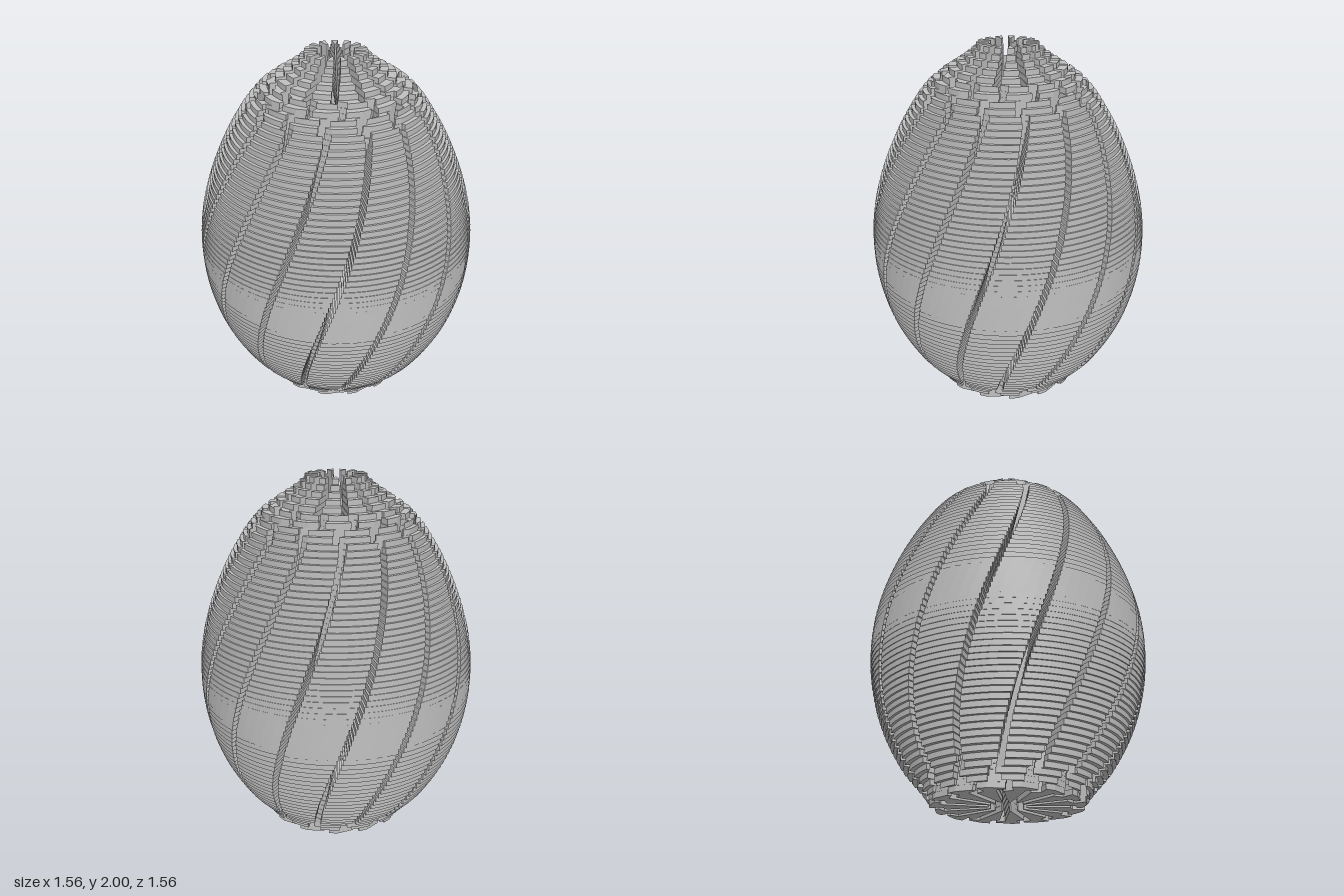
import * as THREE from 'three';
import { mergeGeometries } from 'three/addons/utils/BufferGeometryUtils.js';

const SEGMENTS = 15, LAYERS = 66, HEIGHT = 2, HALF_SLOT = 0.017;
const PITCH = (Math.PI * 2) / SEGMENTS;
const TWIST = THREE.MathUtils.degToRad(50);      // total turn from bottom to top
const TOP_ANGLE = THREE.MathUtils.degToRad(9.5); // slot direction on the top layer

// Egg radius at evenly spaced heights, bottom to top
const profile = new THREE.SplineCurve(
  [0.42, 0.575, 0.685, 0.75, 0.78, 0.775, 0.735, 0.665, 0.567, 0.425, 0.17]
    .map((r, i) => new THREE.Vector2(r, i * 0.2)));

// Slot centre line as (sideways, outward): radial, with an interlocking jog
const slot = [[0, 0.1], [0, 0.345], [0.05, 0.36], [0.05, 0.41], [-0.04, 0.43],
  [-0.04, 0.465], [0, 0.48], [0, 0.95]].map(([t, r]) => new THREE.Vector2(t, r));

// One wall of the slot: the centre line offset sideways with mitred corners
function slotWall(offset) {
  const normals = slot.slice(1).map((p, i) => {
    const d = p.clone().sub(slot[i]).normalize();
    return new THREE.Vector2(d.y, -d.x);
  });
  return slot.map((p, i) => {
    const a = normals[Math.max(i - 1, 0)];
    const b = normals[Math.min(i, normals.length - 1)];
    return a.clone().add(b).multiplyScalar(offset / (1 + a.dot(b))).add(p);
  });
}

// Cut a wall off where it leaves the layer's outer radius
function clipWall(wall, radius) {
  const points = [wall[0]];
  for (let i = 1; i < wall.length; i++) {
    if (wall[i].length() < radius) {
      points.push(wall[i]);
      continue;
    }
    let lo = 0, hi = 1;
    for (let k = 0; k < 20; k++) {
      const mid = (lo + hi) / 2;
      if (wall[i - 1].clone().lerp(wall[i], mid).length() < radius) lo = mid;
      else hi = mid;
    }
    points.push(wall[i - 1].clone().lerp(wall[i], lo));
    break;
  }
  return points;
}

// Turn (sideways, outward) into plan coordinates at a given angle from the front
function toPlan(p, angle) {
  const s = Math.sin(angle), c = Math.cos(angle);
  return new THREE.Vector2(p.y * s + p.x * c, -(p.y * c - p.x * s));
}

const wallA = slotWall(HALF_SLOT), wallB = slotWall(-HALF_SLOT);

// Flat plan of one segment in a layer, between two neighbouring slots
function segmentShape(radius, angle) {
  const near = clipWall(wallA, radius), far = clipWall(wallB, radius);
  const nearEnd = near[near.length - 1], farEnd = far[far.length - 1];
  const start = angle + Math.atan2(nearEnd.x, nearEnd.y);
  const end = angle + PITCH + Math.atan2(farEnd.x, farEnd.y);
  const arc = [];
  for (let i = 1; i < 5; i++) {
    arc.push(toPlan(new THREE.Vector2(0, radius), start + ((end - start) * i) / 5));
  }
  return new THREE.Shape([
    ...near.map((p) => toPlan(p, angle)),
    ...arc,
    ...far.reverse().map((p) => toPlan(p, angle + PITCH)),
  ]);
}

// One twisted column: a stack of stepped layers
function segmentGeometry() {
  const thickness = HEIGHT / LAYERS, layers = [];
  for (let i = 0; i < LAYERS; i++) {
    const f = i / (LAYERS - 1);
    const shape = segmentShape(profile.getPoint(f).x, TOP_ANGLE - TWIST * (1 - f));
    const layer = new THREE.ExtrudeGeometry(shape, { depth: thickness, bevelEnabled: false });
    layer.rotateX(-Math.PI / 2);
    layer.translate(0, i * thickness, 0);
    layers.push(layer);
  }
  return mergeGeometries(layers);
}

export function createModel() {
  const group = new THREE.Group();
  group.name = 'layeredEgg';
  const grey = new THREE.MeshStandardMaterial({ color: 0xc0c0c0 });
  grey.name = 'grey';

  // Identical interlocking columns around the central hole
  const geometry = segmentGeometry();
  for (let i = 0; i < SEGMENTS; i++) {
    const segment = new THREE.Mesh(geometry, grey);
    segment.name = `twistedSegment${i + 1}`;
    segment.rotation.y = i * PITCH;
    group.add(segment);
  }
  return group;
}
